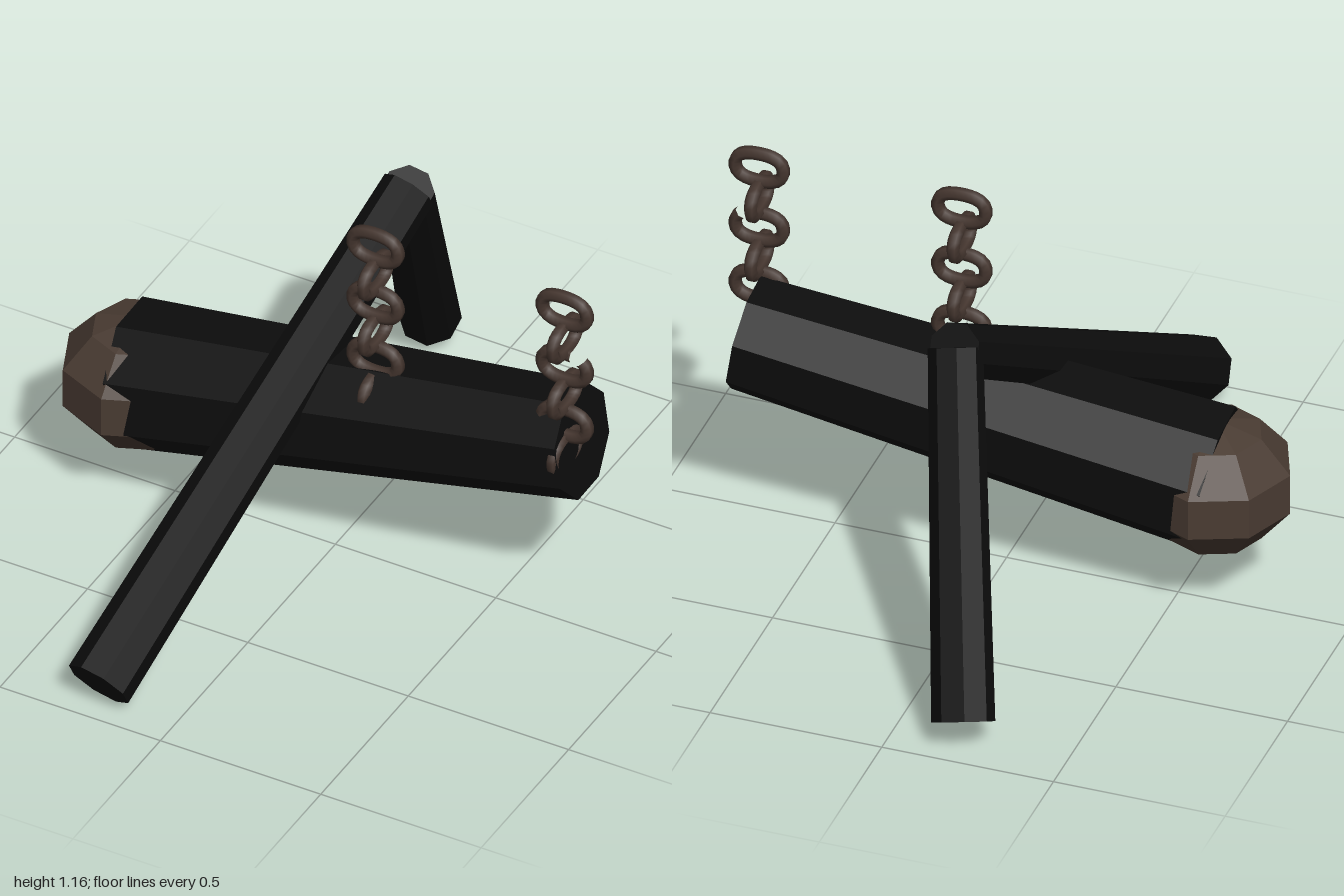
import * as THREE from 'three';

const charred = new THREE.MeshStandardMaterial({ color: 0x0d0d0d });
charred.name = 'charred wood';
const iron = new THREE.MeshStandardMaterial({ color: 0x4a3c33 });
iron.name = 'rusty iron';
const chainIron = new THREE.MeshStandardMaterial({ color: 0x45362f });
chainIron.name = 'chain iron';

// Faceted copy of a geometry
function faceted(geometry) {
  const flat = geometry.toNonIndexed();
  flat.computeVertexNormals();
  return flat;
}

// Tapered eight-sided timber from point a to point b
function timber(name, a, b, radiusA, radiusB) {
  const start = new THREE.Vector3(...a);
  const end = new THREE.Vector3(...b);
  const axis = end.clone().sub(start);
  const geometry = new THREE.CylinderGeometry(radiusB, radiusA, axis.length(), 8, 1, false, Math.PI / 8);
  const mesh = new THREE.Mesh(faceted(geometry), charred);
  mesh.name = name;
  mesh.position.copy(start).add(end).multiplyScalar(0.5);
  mesh.quaternion.setFromUnitVectors(new THREE.Vector3(0, 1, 0), axis.normalize());
  return mesh;
}

// Oval chain link in the xy plane; a gap (in radians) leaves it broken open
function linkGeometry(gap = 0) {
  const points = [];
  const count = 16;
  const first = Math.PI * 0.42;
  const rounded = (v) => Math.sign(v) * Math.pow(Math.abs(v), 0.8);
  for (let i = 0; i < count; i++) {
    const t = gap ? i / (count - 1) : i / count;
    const angle = first + t * (Math.PI * 2 - gap);
    points.push(new THREE.Vector3(0.07 * rounded(Math.cos(angle)), 0.044 * rounded(Math.sin(angle)), 0));
  }
  const curve = new THREE.CatmullRomCurve3(points, !gap);
  return new THREE.TubeGeometry(curve, 24, 0.019, 6, !gap);
}

// Hanging chain of links turned alternately by a quarter
function chain(name, x, brokenIndex) {
  const group = new THREE.Group();
  group.name = name;
  const whole = linkGeometry();
  for (let i = 0; i < 6; i++) {
    const link = new THREE.Mesh(i === brokenIndex ? linkGeometry(0.55) : whole, chainIron);
    link.name = i === brokenIndex ? 'brokenLink' : 'chainLink';
    link.position.set(x, 1.1 - i * 0.0965, 0.027);
    link.rotation.y = i % 2 ? Math.PI / 2 : 0;
    group.add(link);
  }
  return group;
}

export function createModel() {
  const model = new THREE.Group();
  model.name = 'batteringRam';

  // Main log, thicker towards the striking end
  model.add(timber('ramLog', [-0.605, 0.385, 0.02], [0.742, 0.602, -0.048], 0.212, 0.166));

  // Faceted iron head, partly sunk into the log
  const head = new THREE.Mesh(faceted(new THREE.SphereGeometry(1, 8, 5)), iron);
  head.name = 'ramHead';
  head.scale.set(0.23, 0.2, 0.23);
  head.position.set(-0.6, 0.38, 0.02);
  model.add(head);

  // Collapsed frame: two leaning poles meeting at the top
  model.add(timber('frontPole', [-0.22, 0.08, 0.95], [0, 0.945, -0.42], 0.096, 0.078));
  model.add(timber('backPole', [-0.21, 0.085, -0.925], [0, 0.945, -0.41], 0.088, 0.076));

  // Two chains, one with a snapped link
  model.add(chain('middleChain', 0.14, -1));
  model.add(chain('rearChain', 0.73, 2));

  return model;
}
